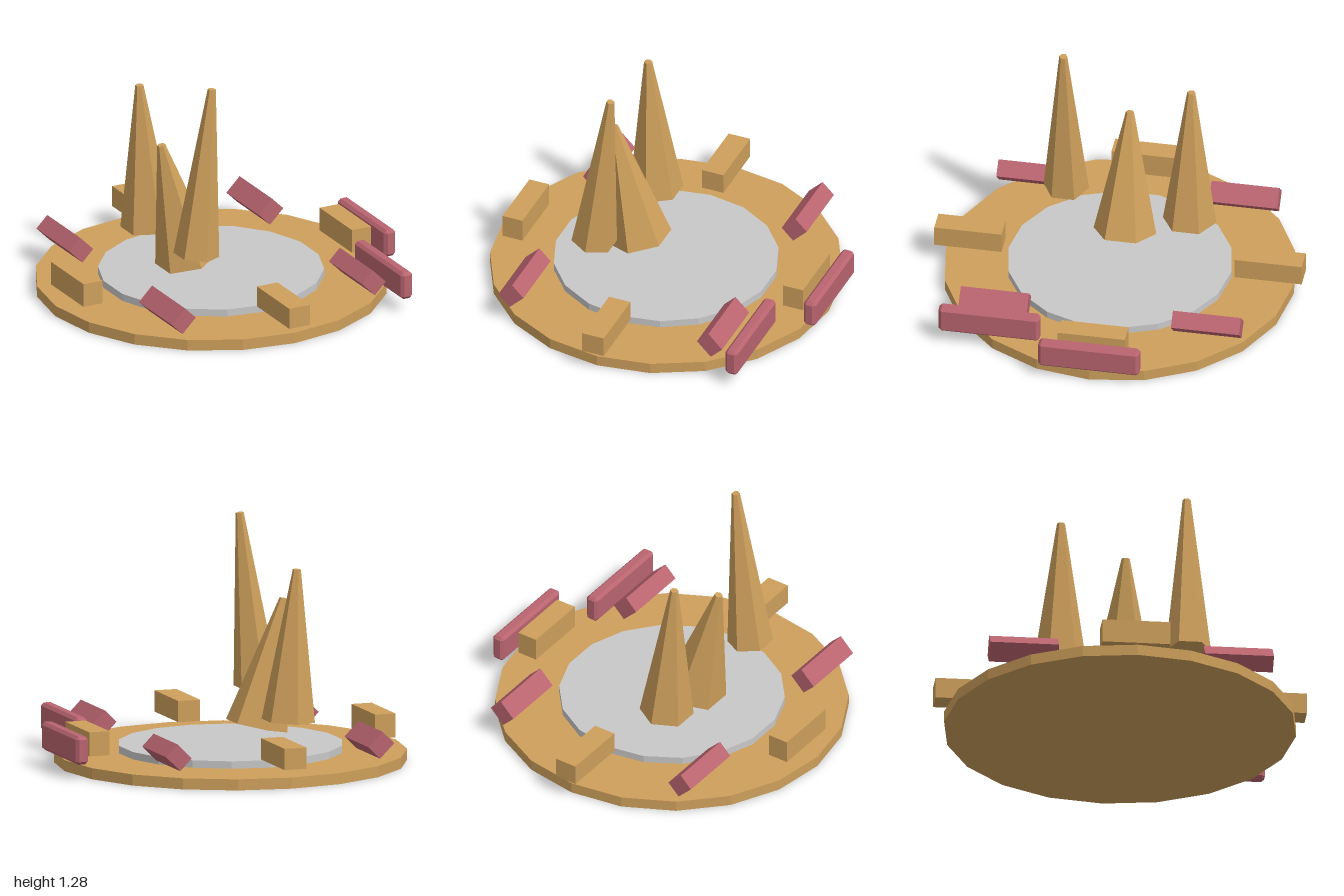
import * as THREE from 'three';
import { ConvexGeometry } from 'three/addons/geometries/ConvexGeometry.js';

const make = (name, color) => {
  const m = new THREE.MeshStandardMaterial({ color, flatShading: true });
  m.name = name;
  return m;
};

// Box with every edge cut by a flat chamfer c
function chamferedBox(w, h, d, c) {
  const half = [w / 2, h / 2, d / 2];
  const points = [];
  for (const sx of [-1, 1]) for (const sy of [-1, 1]) for (const sz of [-1, 1]) {
    for (let face = 0; face < 3; face++) {
      const p = half.map((v, i) => (i === face ? v : v - c));
      points.push(new THREE.Vector3(sx * p[0], sy * p[1], sz * p[2]));
    }
  }
  return new ConvexGeometry(points);
}

export function createModel() {
  const model = new THREE.Group();
  const wood = make('wood', 0xcd9f5b);
  const grey = make('grey', 0xc8c8c8);
  const rose = make('rose', 0xb9646f);

  const add = (name, geometry, material, x, y, z, tilt = 0) => {
    const mesh = new THREE.Mesh(geometry, material);
    mesh.name = name;
    mesh.position.set(x, y, z);
    mesh.rotation.z = tilt;
    model.add(mesh);
    return mesh;
  };

  // Round base and the raised plate on it
  const cx = -0.02;
  add('base', new THREE.CylinderGeometry(0.945, 0.945, 0.06, 20), wood, cx, 0.03, 0);
  add('centrePlate', new THREE.CylinderGeometry(0.605, 0.605, 0.04, 18), grey, cx, 0.08, 0);

  // Four wooden blocks around the rim
  const sideBlock = new THREE.BoxGeometry(0.115, 0.13, 0.365);
  const endBlock = new THREE.BoxGeometry(0.125, 0.115, 0.365);
  for (const s of [-1, 1]) {
    add('sideBlock', sideBlock, wood, cx + s * 0.815, 0.17, 0);
    add('endBlock', endBlock, wood, cx, 0.17, s * 0.815);
  }

  // Four rose bars standing on edge
  const bar = new THREE.BoxGeometry(0.113, 0.093, 0.37);
  for (const sx of [-1, 1]) for (const sz of [-1, 1]) {
    add('edgeBar', bar, rose, cx + sx * 0.577, 0.172, sz * 0.577, sx * sz * -Math.PI / 4);
  }

  // Two chamfered rose slabs on the left side
  const slab = chamferedBox(0.07, 0.152, 0.548, 0.016);
  add('slab', slab, rose, 0.925, 0.153, -0.002);
  add('slab', slab, rose, 0.716, 0.153, 0.576);

  // Three leaning six-sided spires: base centre, base radius, length, lean
  const spires = [
    [-0.293, 0.347, 0.34, 0.123, 0.94, -0.1],
    [-0.17, 0.182, 0, 0.17, 0.7, 0.22],
    [-0.222, 0.26, -0.342, 0.145, 0.82, 0.06],
  ];
  for (const [x, y, z, radius, length, lean] of spires) {
    const geometry = new THREE.CylinderGeometry(0.022, radius, length, 6).translate(0, length / 2, 0);
    add('spire', geometry, wood, x, y, z, lean);
  }

  return model;
}
